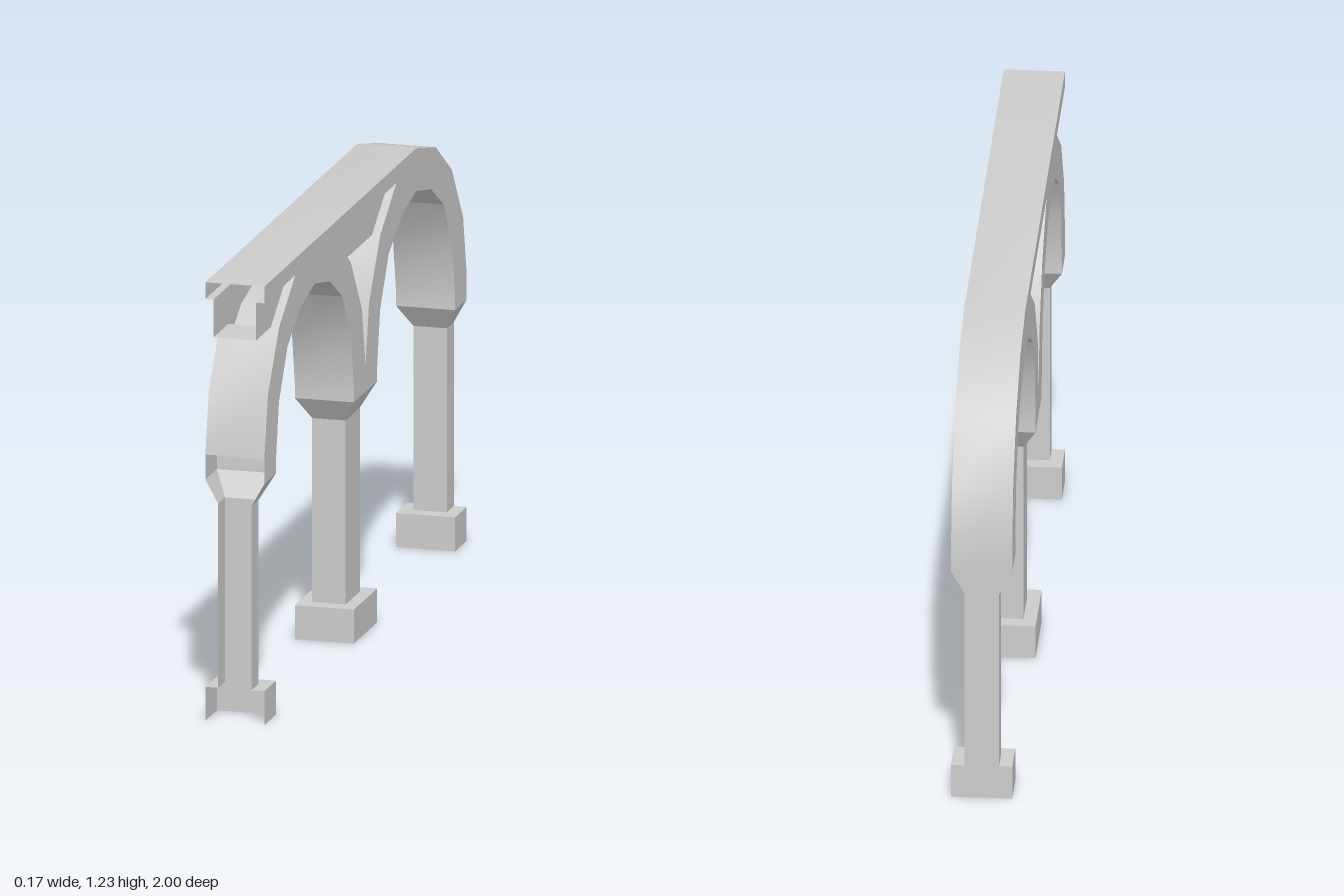
import * as THREE from 'three';
import { toCreasedNormals } from 'three/addons/utils/BufferGeometryUtils.js';

const W = 0.083, PANEL = 0.06;              // half widths of arcade and recessed panel
const TOP = 1.227, FLANGE = 1.18, SOFFIT = 1.075, SPRING = 0.675;

// Half curves as [offset, y]: inner from an arch centre, outer from a pier centre
const INNER = [[0, 1.107], [0.147, 1.075], [0.272, 1.0], [0.356, 0.867], [0.385, 0.715], [0.385, SPRING]];
const OUTER = [[0, 0.745], [0.035, 0.914], [0.145, SOFFIT], [0.305, FLANGE]];

const material = new THREE.MeshStandardMaterial({ color: 0xcccccc, side: THREE.DoubleSide });

function addMesh(group, name, geometry) {
  const mesh = new THREE.Mesh(geometry, material);
  mesh.name = name;
  group.add(mesh);
}

// Geometry from quads, each four corners [x, y, z]
function quadGeometry(quads) {
  const pos = [];
  for (const [a, b, c, d] of quads) pos.push(...a, ...b, ...c, ...a, ...c, ...d);
  const g = new THREE.BufferGeometry();
  g.setAttribute('position', new THREE.Float32BufferAttribute(pos, 3));
  g.computeVertexNormals();
  return toCreasedNormals(g, 0.45);
}

// Band following [z, y] points between two x positions
function band(points, x0 = -W, x1 = W) {
  const quads = [];
  for (let i = 0; i + 1 < points.length; i++) {
    const [za, ya] = points[i], [zb, yb] = points[i + 1];
    quads.push([[x0, ya, za], [x1, ya, za], [x1, yb, zb], [x0, yb, zb]]);
  }
  return quads;
}

// Flat wall in the z-y plane, facing outward at x
function wall(outline, x, hole) {
  const vec = (pts) => pts.map(([z, y]) => new THREE.Vector2(z, y));
  const shape = new THREE.Shape(vec(outline));
  if (hole) shape.holes.push(new THREE.Path(vec(hole)));
  const g = new THREE.ShapeGeometry(shape);
  if (x > 0) {
    g.scale(-1, 1, 1);                       // mirrored, then turned to face +x
    const idx = g.index.array;
    for (let i = 0; i < idx.length; i += 3) [idx[i], idx[i + 1]] = [idx[i + 1], idx[i]];
    g.rotateY(Math.PI / 2);
  } else {
    g.rotateY(-Math.PI / 2);
  }
  g.translate(x, 0, 0);
  g.computeVertexNormals();
  return g;
}

// Hollow pier: base, shaft and flared capital; clipped to z range, optionally open in front
function pier(centre, openFront) {
  const rings = [[W, 0.115, 0], [W, 0.115, 0.095], [0.047, 0.07, 0.095], [0.047, 0.07, 0.61], [W, 0.115, SPRING]]
    .map(([hx, hz, y]) => {
      const z0 = Math.max(-1, centre - hz), z1 = Math.min(1, centre + hz);
      return [[hx, y, z1], [hx, y, z0], [-hx, y, z0], [-hx, y, z1]];
    });
  const quads = [];
  for (let r = 0; r + 1 < rings.length; r++) {
    for (let s = 0; s < (openFront ? 3 : 4); s++) {
      const t = (s + 1) % 4;
      quads.push([rings[r][s], rings[r][t], rings[r + 1][t], rings[r + 1][s]]);
    }
  }
  return quadGeometry(quads);
}

export function createModel() {
  const group = new THREE.Group();
  group.name = 'arcade';

  const archCurve = (c) => [
    ...INNER.slice(1).reverse().map(([d, y]) => [c - d, y]),
    ...INNER.map(([d, y]) => [c + d, y]),
  ];                                          // from -z to +z
  const risingBack = (c) => OUTER.map(([d, y]) => [c - d, y]);
  const risingFront = (c) => OUTER.map(([d, y]) => [c + d, y]);
  const backShoulder = [[-0.5, TOP], ...risingFront(-1).reverse(), [-1, SPRING]];

  // Piers
  addMesh(group, 'frontPier', pier(1, true));
  addMesh(group, 'middlePier', pier(0, false));
  addMesh(group, 'backPier', pier(-1, false));

  // Arch undersides
  addMesh(group, 'frontArchUnderside', quadGeometry(band(archCurve(0.5))));
  addMesh(group, 'backArchUnderside', quadGeometry(band(archCurve(-0.5))));

  // Top running into the rounded back shoulder
  addMesh(group, 'topSurface', quadGeometry(band([[1, TOP], ...backShoulder])));

  // Side faces with the spandrel opening
  const outline = [
    [1, TOP], ...backShoulder,
    ...archCurve(-0.5), ...archCurve(0.5),
    [1, SPRING], ...risingBack(1), [1, FLANGE],
  ];
  const hole = [...risingFront(0).reverse(), ...risingBack(0).slice(1)];
  for (const s of [1, -1]) addMesh(group, s > 0 ? 'leftFace' : 'rightFace', wall(outline, s * W, hole));

  // Spandrels: outer arch surfaces, recessed panels and their ledges
  const spandrels = [
    { name: 'middle', runs: [risingFront(0).reverse(), risingBack(0)], z0: -1, z1: 1 },
    { name: 'front', runs: [risingBack(1)], z0: -1, z1: 0 },
  ];
  for (const { name, runs, z0, z1 } of spandrels) {
    const c = name === 'front' ? 1 : 0;
    const quads = [];
    for (const run of runs) {
      // Full width below the soffit, side strips beside the panel
      const low = run.filter(([, y]) => y <= SOFFIT), high = run.filter(([, y]) => y >= SOFFIT);
      quads.push(...band(low), ...band(high, -W, -PANEL), ...band(high, PANEL, W));
    }
    const ledge = [[c + z0 * 0.305, FLANGE], [c + z1 * 0.305, FLANGE]];
    const soffit = [[c + z0 * 0.145, SOFFIT], [c + z1 * 0.145, SOFFIT]];
    quads.push(...band(ledge, -W, -PANEL), ...band(ledge, PANEL, W), ...band(soffit, -PANEL, PANEL));
    addMesh(group, name + 'Spandrel', quadGeometry(quads));
    for (const s of [1, -1]) {
      addMesh(group, name + (s > 0 ? 'LeftPanel' : 'RightPanel'),
        wall([...soffit, ledge[1], ledge[0]], s * PANEL));
    }
  }
  return group;
}
